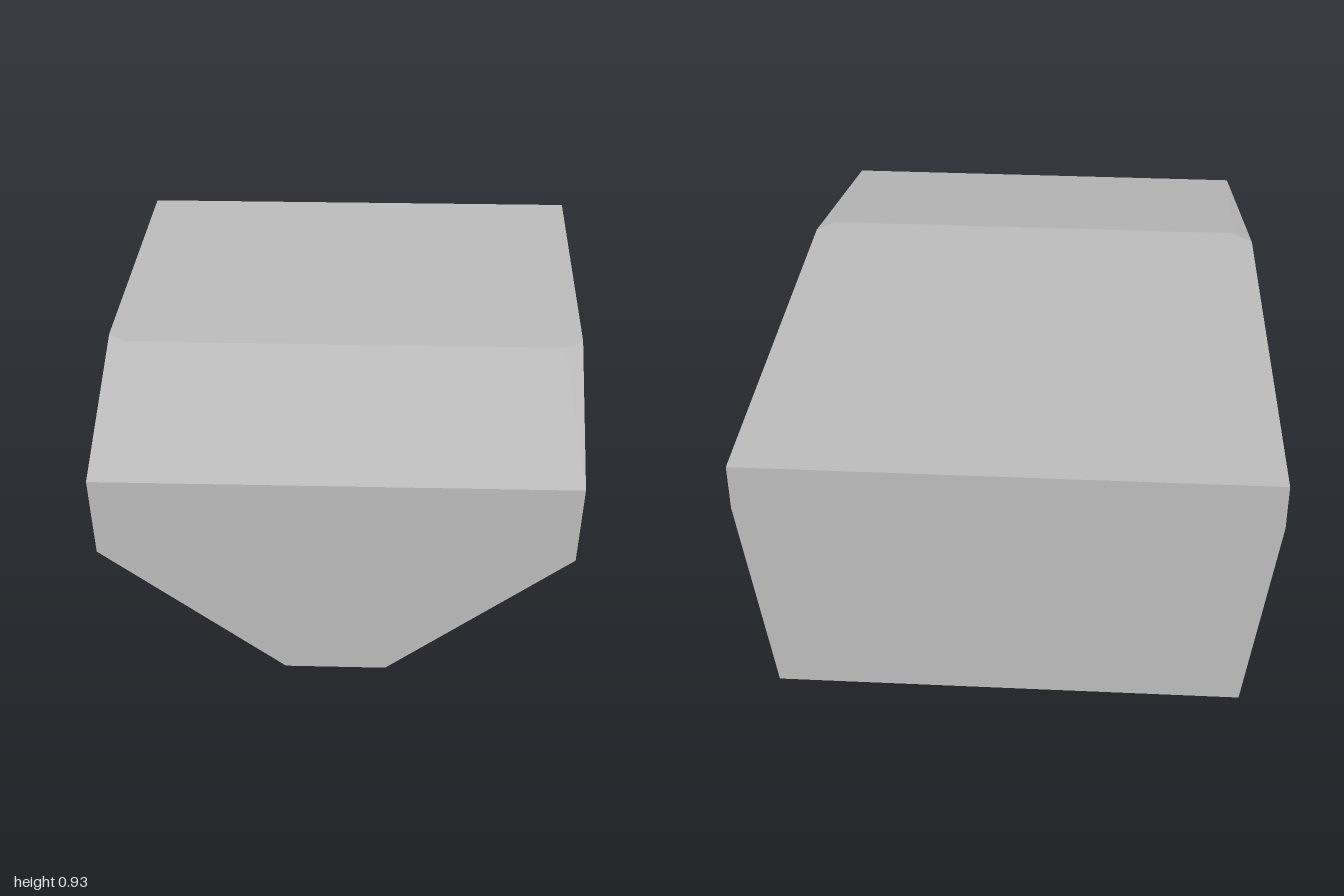
import * as THREE from 'three';
import { ConvexGeometry } from 'three/addons/geometries/ConvexGeometry.js';

export function createModel() {
  const group = new THREE.Group();
  group.name = 'boulder';
  const stone = new THREE.MeshStandardMaterial({ color: 0xbcbcbc });
  stone.name = 'stone grey';

  // Corners shared by both sides: half width, height, depth
  const mirrored = [
    [0.75, 0.93, -1], [0.75, 0.79, -1], [0.67, 0.155, -1], // back face
    [0.715, 0.93, 0.3], [0.66, 0.93, 0.355],               // front edge of the flat top
    [0.67, 0.79, 1], [0.655, 0.575, 1], [0.14, 0.215, 1],  // front face
  ];
  // Lopsided underside: low foot on the left, raised corner on the right
  const underside = [
    [0.71, 0.005, -0.02], [0.71, 0, -0.32],
    [0.48, 0, -0.04], [0.45, 0, -0.31],
    [-0.67, 0.155, -0.04],
  ];

  const points = underside.map((p) => new THREE.Vector3(...p));
  for (const [x, y, z] of mirrored) {
    for (const side of [-1, 1]) points.push(new THREE.Vector3(side * x, y, z));
  }

  // Flat facets stretched over the corners
  const rock = new THREE.Mesh(new ConvexGeometry(points), stone);
  rock.name = 'rock';
  group.add(rock);
  return group;
}
